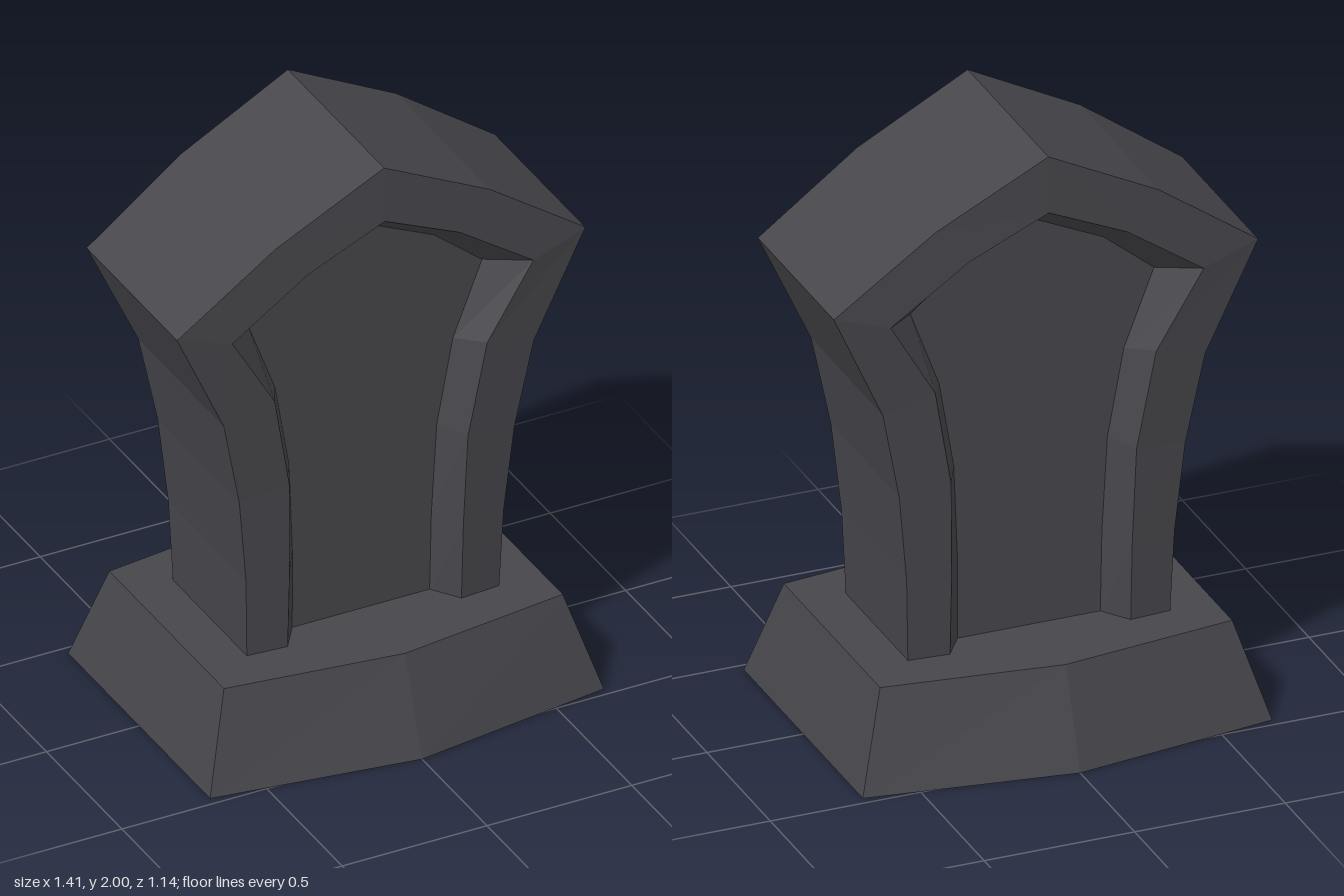
import * as THREE from 'three';

const stone = new THREE.MeshStandardMaterial({ color: 0x47464b, flatShading: true, side: THREE.DoubleSide });
stone.name = 'dark stone';

// Collects flat quads (corners counter-clockwise from outside) into one mesh
function quadMesh(name, quads) {
  const pos = [];
  for (const [a, b, c, d] of quads) pos.push(...a, ...b, ...c, ...a, ...c, ...d);
  const geo = new THREE.BufferGeometry();
  geo.setAttribute('position', new THREE.Float32BufferAttribute(pos, 3));
  geo.computeVertexNormals();
  const mesh = new THREE.Mesh(geo, stone);
  mesh.name = name;
  return mesh;
}

// Joins two rows of points with a strip of quads
function strip(a, b) {
  return a.slice(0, -1).map((p, i) => [p, b[i], b[i + 1], a[i + 1]]);
}

// Mirrors a half outline (foot to apex) into a full arch, with depth following height
function arch(half, z0, slope, side) {
  const full = [...half, ...half.slice(0, -1).reverse().map(([x, y]) => [-x, y])];
  return full.map(([x, y]) => [x, y, side * (z0 + slope * y)]);
}

// Half outlines of the headstone, from the right foot up to the apex
const outer = [[0.435, 0.3], [0.445, 0.6], [0.475, 0.9], [0.535, 1.2], [0.705, 1.57], [0.37, 1.81], [0, 2]];
const inner = [[0.3, 0.3], [0.3, 0.6], [0.308, 0.92], [0.367, 1.25], [0.52, 1.51], [0.263, 1.69], [0, 1.81]];
const panel = [[0.237, 0.3], [0.24, 0.6], [0.255, 0.92], [0.307, 1.22], [0.405, 1.48], [0.235, 1.62], [0, 1.73]];

function createHeadstone() {
  const group = new THREE.Group();
  group.name = 'headstone';
  const rim = (side) => arch(outer, 0.231, 0.044, side);
  const lip = (side) => arch(inner, 0.241, 0.046, side);
  const field = (side) => arch(panel, 0.158, 0.022, side);

  group.add(quadMesh('outerEdge', strip(rim(1), rim(-1))));
  for (const side of [1, -1]) {
    const label = side > 0 ? 'front' : 'back';
    const join = (a, b) => (side > 0 ? strip(a, b) : strip(b, a));
    group.add(quadMesh(label + 'Frame', join(lip(side), rim(side))));
    group.add(quadMesh(label + 'Bevel', join(field(side), lip(side))));
    // Sunken panel, filled row by row between its right and left edges
    const f = field(side);
    const rows = [];
    for (let i = 0; i < 6; i++) {
      const q = [f[i], f[i + 1], f[11 - i], f[12 - i]];
      rows.push(side > 0 ? q : q.reverse());
    }
    group.add(quadMesh(label + 'Panel', rows));
  }

  // Underside, from the right foot across to the left one
  const front = [rim(1)[0], lip(1)[0], field(1)[0], field(1)[12], lip(1)[12], rim(1)[12]];
  const back = front.map(([x, y, z]) => [x, y, -z]);
  group.add(quadMesh('underside', front.slice(0, -1).map((p, i) => [p, front[i + 1], back[i + 1], back[i]])));
  return group;
}

// Hollow six-sided plinth with sloping walls, open below
function createPlinth() {
  const group = new THREE.Group();
  group.name = 'plinth';
  const ring = (x, corner, mid, y) =>
    [[x, y, corner], [x, y, -corner], [0, y, -mid], [-x, y, -corner], [-x, y, corner], [0, y, mid], [x, y, corner]];
  const low = ring(0.68, 0.47, 0.57, 0);
  const high = ring(0.585, 0.38, 0.457, 0.32);
  group.add(quadMesh('plinthWalls', low.slice(0, -1).map((p, i) => [p, low[i + 1], high[i + 1], high[i]])));
  group.add(quadMesh('plinthTop', [
    [high[5], high[0], high[1], high[2]],
    [high[5], high[2], high[3], high[4]],
  ]));
  return group;
}

export function createModel() {
  const model = new THREE.Group();
  model.name = 'gravestone';
  model.add(createPlinth(), createHeadstone());
  return model;
}
